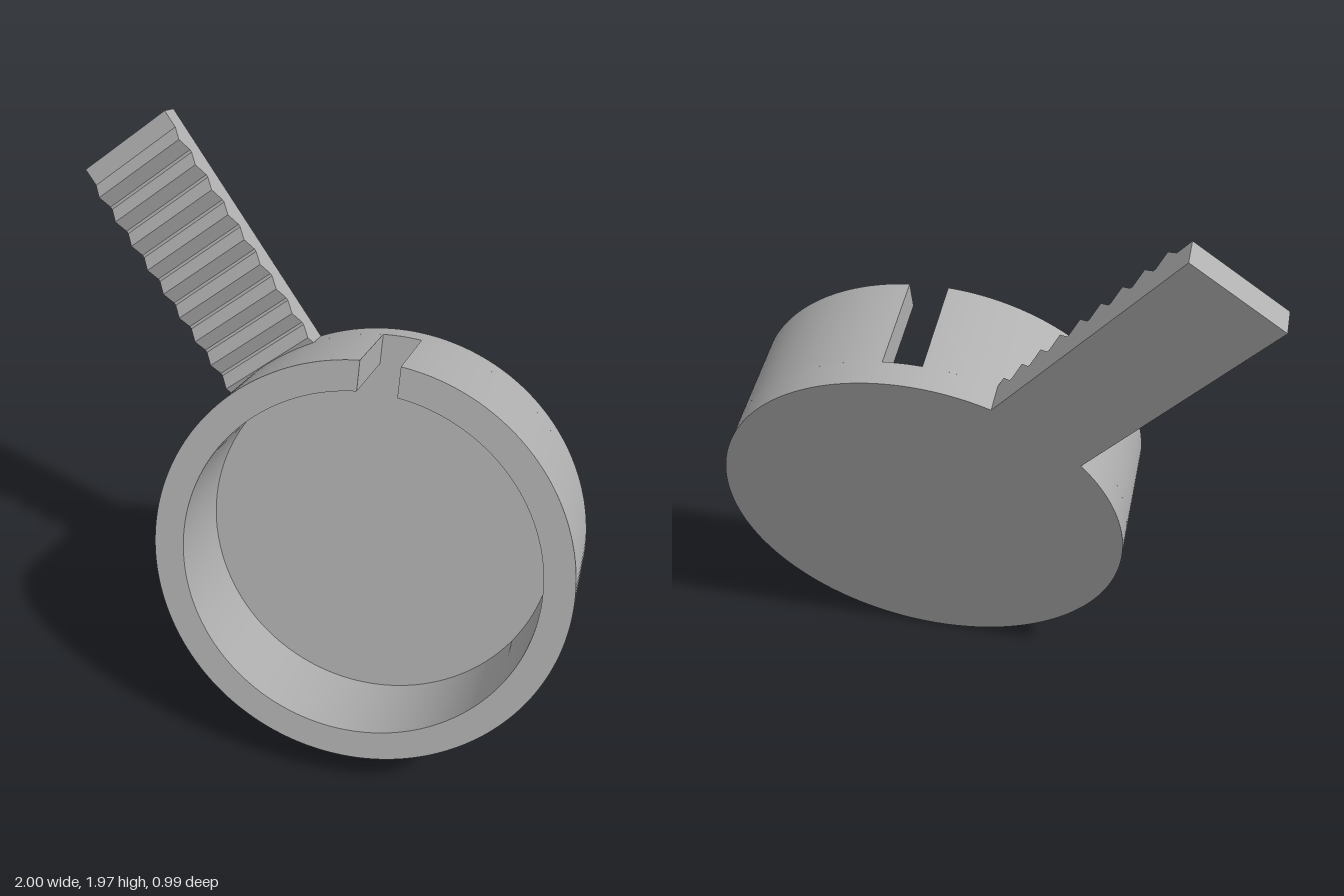
import * as THREE from 'three';
import { toCreasedNormals } from 'three/addons/utils/BufferGeometryUtils.js';

const R = 0.703, R_IN = 0.602;      // outer and inner cup radius
const DEPTH = 0.436, FLOOR = 0.09;  // cup depth and floor thickness

export function createModel() {
  const grey = new THREE.MeshStandardMaterial({ color: 0xb0b0b0 });
  grey.name = 'plain grey';
  const model = new THREE.Group();
  model.name = 'slottedCupWithRibbedHandle';

  // Tilted frame: z is the cup axis, y runs out along the handle
  const body = new THREE.Group();
  body.name = 'tiltedBody';
  const axis = new THREE.Vector3(0.287, 0.31, 0.906).normalize();
  const along = new THREE.Vector3(-0.678, 0.734, -0.036).normalize();
  const across = new THREE.Vector3().crossVectors(along, axis).normalize();
  along.crossVectors(axis, across);
  body.quaternion.setFromRotationMatrix(new THREE.Matrix4().makeBasis(across, along, axis));
  body.position.set(0.2, 0.67, -0.1975);
  model.add(body);

  const add = (name, geometry) => {
    const mesh = new THREE.Mesh(geometry, grey);
    mesh.name = name;
    body.add(mesh);
    return mesh;
  };
  const extrude = (shape, depth) => toCreasedNormals(
    new THREE.ExtrudeGeometry(shape, { depth, bevelEnabled: false, curveSegments: 96 }), 0.5);

  // Round floor
  const disc = new THREE.Shape().absarc(0, 0, R, 0, Math.PI * 2, false);
  add('cupFloor', extrude(disc, FLOOR));

  // Wall ring with a parallel-sided slot
  const slotAngle = THREE.MathUtils.degToRad(50.3), half = 0.065;
  const dOut = Math.asin(half / R), dIn = Math.asin(half / R_IN);
  const ring = new THREE.Shape();
  ring.absarc(0, 0, R, slotAngle + dOut, slotAngle - dOut + Math.PI * 2, false);
  ring.absarc(0, 0, R_IN, slotAngle - dIn + Math.PI * 2, slotAngle + dIn, true);
  ring.closePath();
  add('cupWall', extrude(ring, DEPTH - FLOOR)).position.z = FLOOR;

  // Handle: side profile (length, thickness) with a row of ridges, swept across its width
  const start = 0.56, end = 1.588, base = 0.083, ridge = 0.036;
  const teeth = 10, pitch = 0.097, width = 0.355;
  const profile = new THREE.Shape();
  profile.moveTo(start, 0);
  profile.lineTo(end, 0);
  profile.lineTo(end, base);
  for (let i = teeth - 1; i >= 0; i--) {
    const s = start + i * pitch;
    profile.lineTo(s + pitch * 0.95, base);
    profile.lineTo(s + pitch * 0.5, base + ridge);
    profile.lineTo(s + pitch * 0.05, base);
  }
  profile.lineTo(start, base);
  profile.closePath();
  const bar = new THREE.ExtrudeGeometry(profile, { depth: width, bevelEnabled: false });
  bar.translate(0, 0, -width / 2);
  // profile x -> handle length (y), profile y -> thickness (z), sweep -> width (x)
  bar.applyMatrix4(new THREE.Matrix4().makeBasis(
    new THREE.Vector3(0, 1, 0), new THREE.Vector3(0, 0, 1), new THREE.Vector3(1, 0, 0)));
  add('ribbedHandle', bar);

  return model;
}
